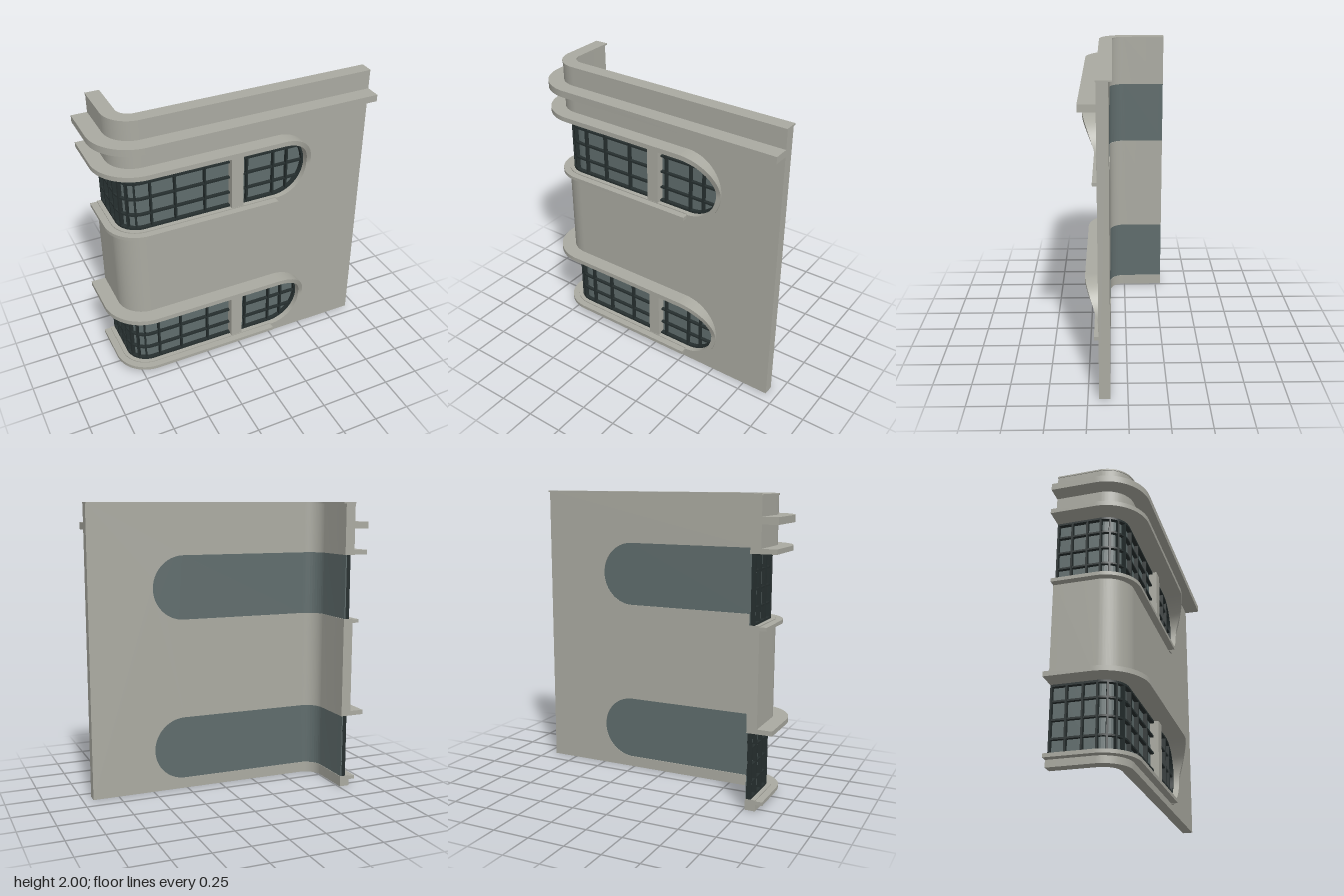
import * as THREE from 'three';
import { toCreasedNormals } from 'three/addons/utils/BufferGeometryUtils.js';

const CX = -0.65;          // centre of the rounded corner (z = 0)
const END_X = 0.93;        // end of the long wall
const END_Z = -0.29;       // end of the short return wall
const CAP_X = 0.265;       // centre of the round window end
const R = 0.22;            // half height of a window opening

const wallMat = new THREE.MeshStandardMaterial({ color: 0xaaaaa1 });
wallMat.name = 'concrete';
const glassMat = new THREE.MeshStandardMaterial({ color: 0x5f6c6c });
glassMat.name = 'glass';
const barMat = new THREE.MeshStandardMaterial({ color: 0x262f2f });
barMat.name = 'dark metal';

function add(parent, name, geo, mat) {
  const mesh = new THREE.Mesh(geo, mat);
  mesh.name = name;
  parent.add(mesh);
  return mesh;
}

// Band that follows the wall round the corner, between distances d0 and d1 from the corner centre
function band(d0, d1, y0, y1, xEnd, segments = 20) {
  const s = new THREE.Shape();
  s.moveTo(xEnd, -d1);
  s.lineTo(CX, -d1);
  s.absarc(CX, 0, d1, -Math.PI / 2, -Math.PI, true);
  s.lineTo(CX - d1, -END_Z);
  s.lineTo(CX - d0, -END_Z);
  s.lineTo(CX - d0, 0);
  s.absarc(CX, 0, d0, -Math.PI, -Math.PI / 2, false);
  if (xEnd > CX) s.lineTo(xEnd, -d0);
  const g = new THREE.ExtrudeGeometry(s, { depth: y1 - y0, bevelEnabled: false, curveSegments: segments });
  g.rotateX(-Math.PI / 2).translate(0, y0, 0);
  return toCreasedNormals(g, segments > 8 ? 0.5 : 0.1);
}

function slab(shape, z0, z1) {
  const g = new THREE.ExtrudeGeometry(shape, { depth: z1 - z0, bevelEnabled: false, curveSegments: 28 });
  return toCreasedNormals(g.translate(0, 0, z0), 0.5);
}

function box(x0, x1, y0, y1, z0, z1) {
  return new THREE.BoxGeometry(x1 - x0, y1 - y0, z1 - z0)
    .translate((x0 + x1) / 2, (y0 + y1) / 2, (z0 + z1) / 2);
}

// Flat front wall with two round-ended openings running in from the corner
function frontPanel(centres) {
  const s = new THREE.Shape();
  s.moveTo(CX, 0);
  s.lineTo(END_X, 0);
  s.lineTo(END_X, 2);
  s.lineTo(CX, 2);
  for (const c of [...centres].reverse()) {
    s.lineTo(CX, c + R);
    s.lineTo(CAP_X, c + R);
    s.absarc(CAP_X, c, R, Math.PI / 2, -Math.PI / 2, true);
    s.lineTo(CX, c - R);
  }
  return slab(s, 0.11, 0.18);
}

// Round end of the hood: its projection shrinks as it turns downward
function hoodEnd(c) {
  const n = 32, pos = [];
  const section = (i) => {
    const t = (i / n) * Math.PI;
    const front = 0.19 + 0.09 * Math.pow(Math.max(0, Math.cos(t)), 1.3);
    return [[R, 0.16], [0.252, 0.16], [0.252, front], [R, front]]
      .map(([r, z]) => [CAP_X + r * Math.sin(t), c + r * Math.cos(t), z]);
  };
  const quad = (a, b, p, q) => pos.push(...a, ...b, ...p, ...a, ...p, ...q);
  for (let i = 0; i < n; i++) {
    const a = section(i), b = section(i + 1);
    for (let k = 0; k < 4; k++) quad(a[k], a[(k + 1) % 4], b[(k + 1) % 4], b[k]);
  }
  const first = section(0), last = section(n);
  quad(first[3], first[2], first[1], first[0]);
  quad(...last);
  const g = new THREE.BufferGeometry();
  g.setAttribute('position', new THREE.Float32BufferAttribute(pos, 3));
  // Orient every face outward from the ring's own section
  const p = g.attributes.position, v = [0, 1, 2].map(() => new THREE.Vector3());
  const nrm = new THREE.Vector3(), e = new THREE.Vector3();
  for (let i = 0; i < p.count; i += 3) {
    v.forEach((w, k) => w.fromBufferAttribute(p, i + k));
    nrm.subVectors(v[1], v[0]).cross(e.subVectors(v[2], v[0]));
    const mid = new THREE.Vector3().add(v[0]).add(v[1]).add(v[2]).divideScalar(3);
    const ang = Math.atan2(mid.x - CAP_X, mid.y - c);
    const front = 0.19 + 0.09 * Math.pow(Math.max(0, Math.cos(ang)), 1.3);
    const core = new THREE.Vector3(CAP_X + 0.236 * Math.sin(ang), c + 0.236 * Math.cos(ang), (0.16 + front) / 2);
    if (nrm.dot(mid.sub(core)) < 0) {
      p.setXYZ(i + 1, v[2].x, v[2].y, v[2].z);
      p.setXYZ(i + 2, v[1].x, v[1].y, v[1].z);
    }
  }
  return toCreasedNormals(g, 0.5);
}

function createWindow(c) {
  const w = new THREE.Group();
  w.name = 'cornerWindow';

  // Glass: flat round-ended pane plus a faceted corner
  const pane = new THREE.Shape();
  pane.moveTo(CX, c - R);
  pane.lineTo(CAP_X, c - R);
  pane.absarc(CAP_X, c, R, -Math.PI / 2, Math.PI / 2, false);
  pane.lineTo(CX, c + R);
  add(w, 'frontGlass', slab(pane, 0.114, 0.122), glassMat);
  add(w, 'cornerGlass', band(0.114, 0.122, c - R, c + R, CX, 5), glassMat);

  // Frame around the opening
  const ri = R - 0.014, frame = new THREE.Shape();
  frame.moveTo(CX, c - R);
  frame.lineTo(CAP_X, c - R);
  frame.absarc(CAP_X, c, R, -Math.PI / 2, Math.PI / 2, false);
  frame.lineTo(CX, c + R);
  frame.lineTo(CX, c + ri);
  frame.lineTo(CAP_X, c + ri);
  frame.absarc(CAP_X, c, ri, Math.PI / 2, -Math.PI / 2, true);
  frame.lineTo(CX, c - ri);
  add(w, 'frontFrame', slab(frame, 0.118, 0.15), barMat);
  add(w, 'frameTop', band(0.118, 0.15, c + ri, c + R, CX), barMat);
  add(w, 'frameBottom', band(0.118, 0.15, c - R, c - ri, CX), barMat);

  // Horizontal glazing bars
  for (const dy of [-0.115, 0, 0.115]) {
    const x = CAP_X + Math.sqrt(0.213 ** 2 - dy * dy);
    add(w, 'horizontalBar', band(0.118, 0.145, c + dy - 0.006, c + dy + 0.006, x), barMat);
  }
  // Vertical glazing bars on the front
  for (const x of [-0.6, -0.435, -0.23, 0.068, 0.26, 0.36]) {
    const h = Math.sqrt(0.214 ** 2 - Math.max(0, x - CAP_X) ** 2);
    add(w, 'verticalBar', box(x - 0.006, x + 0.006, c - h, c + h, 0.118, 0.15), barMat);
  }
  // Vertical bars round the corner
  for (const deg of [22, 44, 66]) {
    const bar = add(w, 'cornerBar', box(-0.006, 0.006, c - R, c + R, 0.118, 0.15), barMat);
    bar.rotation.y = -deg * Math.PI / 180;
    bar.position.x = CX;
  }
  // Vertical bars on the return
  for (const z of [-0.284, -0.19, -0.09, 0]) {
    add(w, 'returnBar', box(CX - 0.15, CX - 0.118, c - R, c + R, z - 0.006, z + 0.006), barMat);
  }

  // Pier, hood and sill
  add(w, 'pier', box(-0.055, 0.028, c - R, c + R, 0.115, 0.178), wallMat);
  add(w, 'hood', band(0.16, 0.28, c + R, c + 0.252, CAP_X), wallMat);
  add(w, 'hoodEnd', hoodEnd(c), wallMat);
  add(w, 'sill', band(0.16, 0.226, c - 0.25, c - 0.226, CAP_X), wallMat);
  return w;
}

export function createModel() {
  const model = new THREE.Group();
  model.name = 'roundedCornerFacade';
  const centres = [0.295, 1.425];

  // Wall
  add(model, 'frontWall', frontPanel(centres), wallMat);
  const edges = [0, ...centres.flatMap((c) => [c - R, c + R]), 2];
  for (let i = 0; i < edges.length; i += 2) {
    add(model, 'cornerWall', band(0.11, 0.18, edges[i], edges[i + 1], CX), wallMat);
  }

  // Parapet cap and cornice
  add(model, 'parapetCap', band(0.09, 0.184, 1.99, 2.0, END_X), wallMat);
  add(model, 'cornice', band(0.16, 0.285, 1.822, 1.868, END_X), wallMat);

  for (const c of centres) model.add(createWindow(c));
  return model;
}
